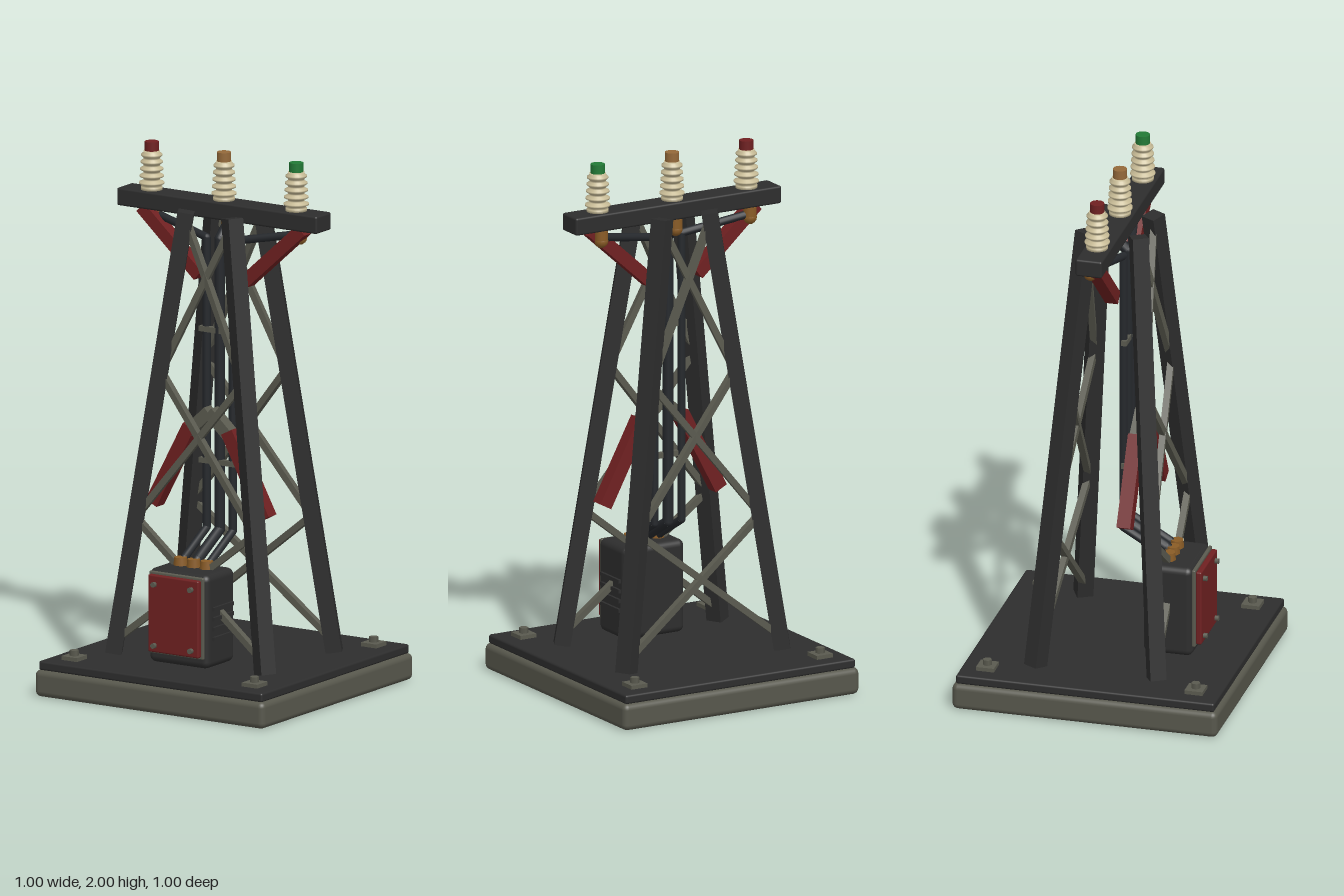
import * as THREE from 'three';
import { RoundedBoxGeometry } from 'three/addons/geometries/RoundedBoxGeometry.js';

const material = (name, color) => {
  const m = new THREE.MeshStandardMaterial({ color });
  m.name = name;
  return m;
};

export function createModel() {
  const model = new THREE.Group();
  model.name = 'pylon';

  const concrete = material('concrete grey', 0x57574c);
  const dark = material('dark steel', 0x2d2d2d);
  const steel = material('brace grey', 0x5a5a4f);
  const red = material('red paint', 0x6f2021);
  const cream = material('ceramic cream', 0xc6ba95);
  const tan = material('tan cap', 0x94693a);
  const green = material('green cap', 0x227a36);
  const black = material('conduit black', 0x25282c);
  const copper = material('copper', 0x8a5c26);

  const V = (x, y, z) => new THREE.Vector3(x, y, z);
  const add = (name, geometry, mat, x = 0, y = 0, z = 0) => {
    const mesh = new THREE.Mesh(geometry, mat);
    mesh.name = name;
    mesh.position.set(x, y, z);
    model.add(mesh);
    return mesh;
  };
  const rounded = (name, mat, w, h, d, r, x, y, z) =>
    add(name, new RoundedBoxGeometry(w, h, d, 3, r), mat, x, y, z);
  const box = (name, mat, w, h, d, x, y, z) =>
    add(name, new THREE.BoxGeometry(w, h, d), mat, x, y, z);
  // Square bar running from a to b
  const beam = (name, mat, a, b, w, h = w) => {
    const mid = a.clone().add(b).multiplyScalar(0.5);
    const mesh = box(name, mat, w, h, a.distanceTo(b), mid.x, mid.y, mid.z);
    mesh.lookAt(b);
    return mesh;
  };
  // Round pipe through a list of points, with ball elbows
  const pipe = (name, mat, points, r) => {
    points.slice(1).forEach((b, i) => {
      const a = points[i];
      const mid = a.clone().add(b).multiplyScalar(0.5);
      const mesh = add(name, new THREE.CylinderGeometry(r, r, a.distanceTo(b), 12), mat, mid.x, mid.y, mid.z);
      mesh.quaternion.setFromUnitVectors(V(0, 1, 0), b.clone().sub(a).normalize());
      if (i > 0) add(name + 'Elbow', new THREE.SphereGeometry(r, 12, 8), mat, a.x, a.y, a.z);
    });
  };

  // Base slab, deck plate and anchor bolts
  rounded('baseSlab', concrete, 1, 0.1, 1, 0.022, 0, 0.05, 0);
  rounded('deckPlate', dark, 0.974, 0.034, 0.974, 0.008, 0, 0.115, 0);
  for (const x of [-0.393, 0.393]) {
    for (const z of [-0.393, 0.393]) {
      box('anchorPlate', steel, 0.068, 0.015, 0.068, x, 0.139, z);
      add('anchorBolt', new THREE.CylinderGeometry(0.017, 0.017, 0.022, 6), steel, x, 0.156, z);
    }
  }

  // Four leaning legs
  const legPoint = (sx, y, sz) => {
    const t = (y - 0.135) / 1.65;
    return V(sx * (0.33 - 0.23 * t), y, sz * (0.228 - 0.13 * t));
  };
  for (const sx of [-1, 1]) {
    for (const sz of [-1, 1]) {
      beam('leg', dark, legPoint(sx, 0.135, sz), legPoint(sx, 1.783, sz), 0.06);
    }
  }

  // Cross bracing on the front and back faces
  const panels = [[0.18, 0.64], [0.64, 1.19], [1.17, 1.76]];
  for (const sz of [-1, 1]) {
    for (const [low, high] of panels) {
      for (const sx of [-1, 1]) {
        beam('crossBrace', steel, legPoint(sx, low, sz), legPoint(-sx, high, sz), 0.024);
      }
    }
  }

  // Crossarm with its diagonal struts
  rounded('crossarm', dark, 0.872, 0.066, 0.1, 0.008, 0, 1.788, 0);
  for (const s of [-1, 1]) {
    beam('crossarmStrut', red, V(s * 0.35, 1.755, 0), V(s * 0.1, 1.53, 0), 0.048);
  }

  // Red struts in the middle, meeting at a grey joint
  for (const s of [-1, 1]) {
    beam('middleStrut', red, V(s * 0.083, 0.985, 0.085), V(s * 0.245, 0.68, 0.085), 0.052);
    beam('middleJoint', steel, V(s * 0.09, 0.965, 0.085), V(0, 1.048, 0.085), 0.046);
  }

  // Ribbed insulators with coloured caps
  const profile = [[0, 0], [0.04, 0], [0.04, 0.012]];
  for (let i = 0; i < 5; i++) {
    const y = 0.016 + i * 0.026;
    const r = 0.046 - i * 0.0018;
    profile.push([0.03, y], [r, y + 0.007], [r, y + 0.013], [0.03, y + 0.02]);
  }
  profile.push([0.03, 0.146], [0, 0.146]);
  const ribbed = new THREE.LatheGeometry(profile.map(([r, y]) => new THREE.Vector2(r, y)), 24);
  [[-0.315, red], [0, tan], [0.315, green]].forEach(([x, cap]) => {
    add('insulator', ribbed, cream, x, 1.82, 0);
    add('insulatorCap', new THREE.CylinderGeometry(0.026, 0.026, 0.04, 20), cap, x, 1.98, 0);
    add('terminal', new THREE.CylinderGeometry(0.025, 0.025, 0.04, 12), copper, x, 1.735, -0.025);
    add('terminalBall', new THREE.SphereGeometry(0.026, 12, 8), copper, x, 1.715, -0.025);
  });

  // Conduits from the cabinet up to the terminals
  for (const s of [-1, 0, 1]) {
    const x = s * 0.057;
    pipe('conduit', black, [
      V(x, 0.49, 0.2), V(x, 0.512, 0.175), V(x, 0.598, 0.028),
      V(x, 1.68, 0.028), V(s * 0.315, 1.728, -0.025),
    ], s ? 0.015 : 0.02);
    add('conduitFitting', new THREE.CylinderGeometry(0.024, 0.027, 0.035, 8), copper, x, 0.502, 0.2);
  }
  // Clamps holding the conduits together
  for (const y of [0.85, 1.34]) box('conduitClamp', steel, 0.16, 0.02, 0.02, 0, y, 0.036);

  // Control cabinet with door, screws and side louvres
  rounded('cabinet', dark, 0.26, 0.35, 0.187, 0.025, 0, 0.315, 0.213);
  rounded('doorFrame', steel, 0.236, 0.305, 0.014, 0.005, 0, 0.33, 0.309);
  rounded('door', red, 0.22, 0.288, 0.022, 0.006, 0, 0.33, 0.326);
  for (const x of [-0.08, 0.08]) {
    for (const y of [0.212, 0.44]) {
      const screw = add('doorScrew', new THREE.CylinderGeometry(0.01, 0.01, 0.02, 10), steel, x, y, 0.341);
      screw.rotation.x = Math.PI / 2;
    }
  }
  for (let i = 0; i < 4; i++) box('louvre', dark, 0.018, 0.014, 0.13, 0.131, 0.25 + i * 0.037, 0.21);

  return model;
}
